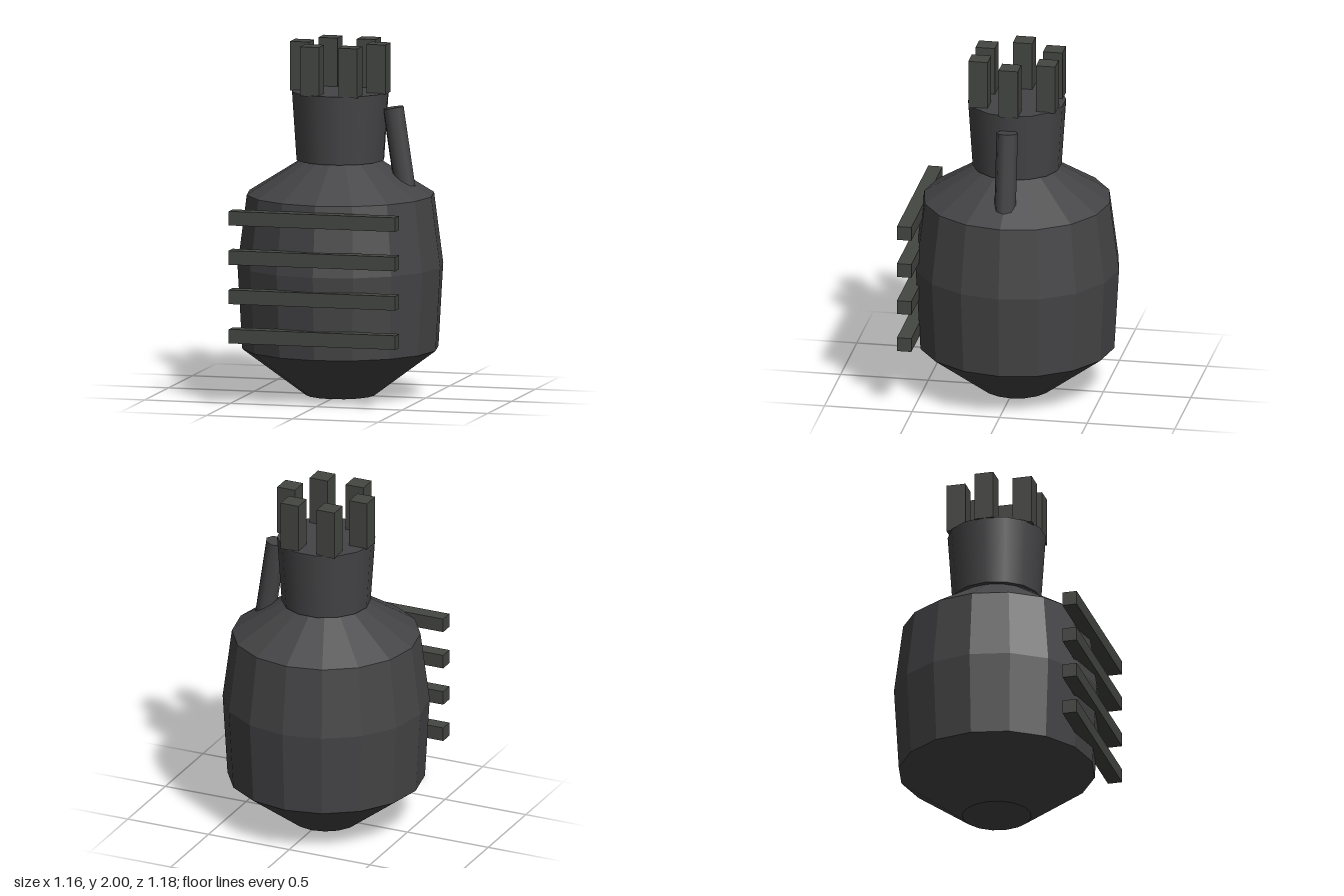
import * as THREE from 'three';

const CENTRE_Z = -0.008;

export function createModel() {
  const model = new THREE.Group();
  const bodyMat = new THREE.MeshStandardMaterial({ color: 0x444446, flatShading: true });
  const smoothMat = new THREE.MeshStandardMaterial({ color: 0x444446 });
  const trimMat = new THREE.MeshStandardMaterial({ color: 0x444642 });

  const add = (name, geometry, material, x, y, z) => {
    const mesh = new THREE.Mesh(geometry, material);
    mesh.name = name;
    mesh.position.set(x, y, z);
    model.add(mesh);
    return mesh;
  };

  // Sixteen-sided barrel body, closed at both ends
  const profile = [
    [0, 0], [0.195, 0], [0.555, 0.268], [0.582, 0.74], [0.53, 1.14], [0.22, 1.335], [0, 1.335],
  ].map(([r, y]) => new THREE.Vector2(r, y));
  add('body', new THREE.LatheGeometry(profile, 16), bodyMat, 0, 0, CENTRE_Z);

  // Flared neck overhanging the shoulder
  const neck = new THREE.CylinderGeometry(0.276, 0.25, 0.39, 14);
  neck.rotateY(Math.PI / 2);
  add('neck', neck, smoothMat, 0, 1.53, CENTRE_Z);

  // Ring of six upright prongs
  const prong = new THREE.BoxGeometry(0.11, 0.28, 0.11);
  for (let i = 0; i < 6; i++) {
    const a = (i * Math.PI) / 3;
    add('prong', prong, trimMat, 0.223 * Math.cos(a), 1.86, CENTRE_Z + 0.223 * Math.sin(a));
  }

  // Leaning lever beside the neck
  const lever = new THREE.CylinderGeometry(0.061, 0.061, 0.48, 8);
  add('lever', lever, smoothMat, 0.344, 1.403, CENTRE_Z).rotation.z = 0.15;

  // Four horizontal slats across the front
  const slat = new THREE.BoxGeometry(0.97, 0.08, 0.082);
  for (let i = 0; i < 4; i++) {
    add('frontSlat', slat, trimMat, 0, 0.393 + i * 0.223, 0.548);
  }

  return model;
}
